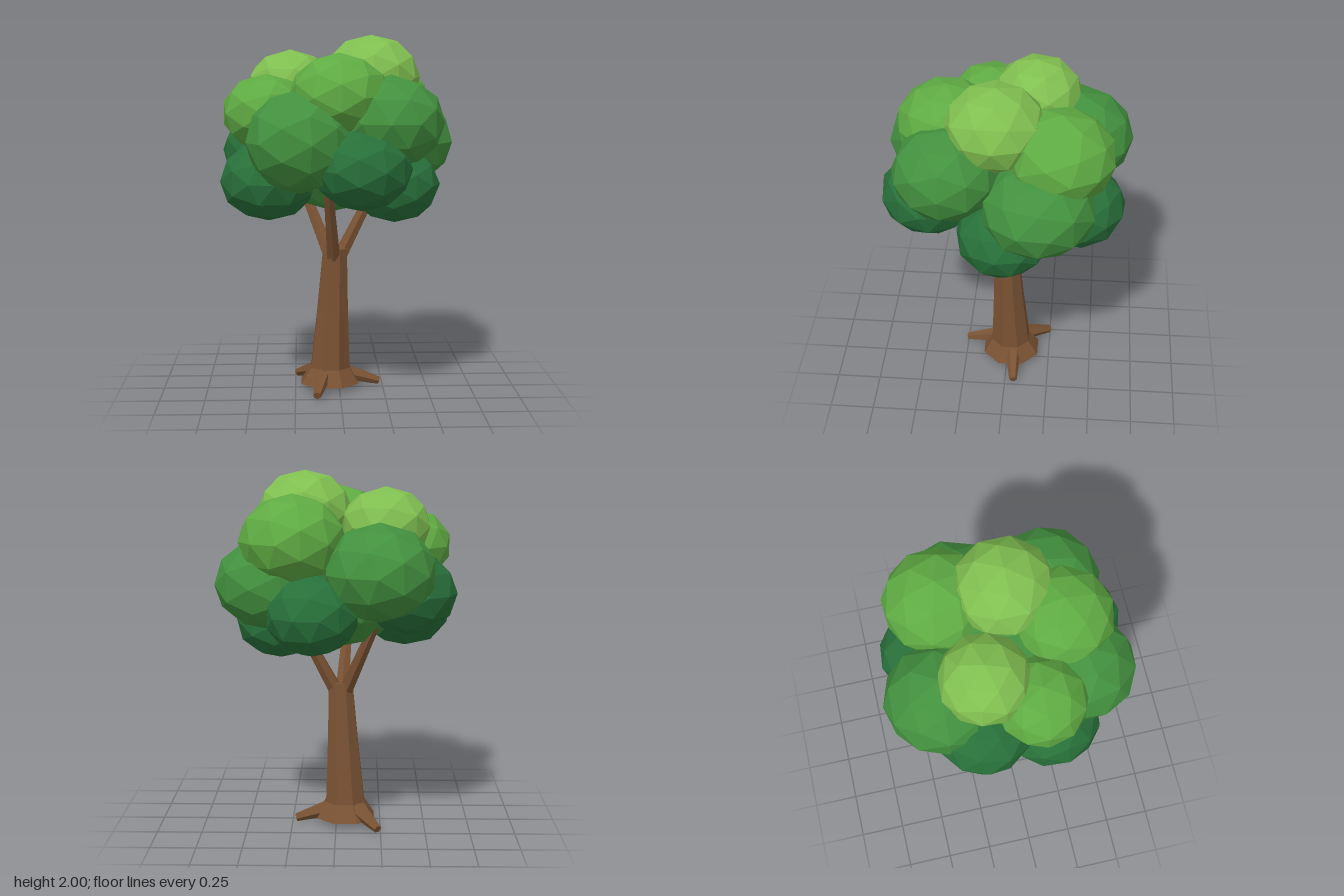
import * as THREE from 'three';

const mat = (color) => new THREE.MeshStandardMaterial({ color, flatShading: true });
const bark = mat(0x7a5233);
const greens = {
  top: mat(0x80bf50),
  upper: mat(0x5fab43),
  middle: mat(0x43913f),
  lower: mat(0x28703a),
};

// Tapered limb between two points
function limb(name, from, to, r0, r1, sides) {
  const a = new THREE.Vector3(...from), b = new THREE.Vector3(...to);
  const dir = b.clone().sub(a);
  const mesh = new THREE.Mesh(new THREE.CylinderGeometry(r1, r0, dir.length(), sides), bark);
  mesh.quaternion.setFromUnitVectors(new THREE.Vector3(0, 1, 0), dir.normalize());
  mesh.position.copy(a).add(b).multiplyScalar(0.5);
  mesh.name = name;
  return mesh;
}

// Leaning trunk: lathe rings shifted sideways by height
function trunk() {
  const profile = [[0, 0.03], [0.175, 0.03], [0.118, 0.12], [0.093, 0.46], [0.072, 0.81], [0, 0.81]];
  const geo = new THREE.LatheGeometry(profile.map((p) => new THREE.Vector2(...p)), 8, Math.PI / 8);
  const pos = geo.attributes.position;
  for (let i = 0; i < pos.count; i++) {
    const t = pos.getY(i) / 0.81;
    pos.setX(i, pos.getX(i) - 0.055 + 0.031 * t);
    pos.setZ(i, pos.getZ(i) - 0.022 + 0.03 * t);
  }
  const mesh = new THREE.Mesh(geo, bark);
  mesh.name = 'trunk';
  return mesh;
}

// Faceted leaf clumps: tone, centre x y z, horizontal radius, vertical radius
const clumps = [
  ['top', 0.175, 1.77, 0.05, 0.27, 0.23],
  ['top', -0.27, 1.71, -0.15, 0.245, 0.21],
  ['upper', -0.01, 1.675, 0.32, 0.27, 0.23],
  ['upper', 0.23, 1.64, -0.295, 0.29, 0.25],
  ['upper', -0.4, 1.58, 0.115, 0.245, 0.21],
  ['middle', -0.22, 1.44, 0.38, 0.29, 0.275],
  ['middle', 0.265, 1.54, 0.3, 0.29, 0.25],
  ['middle', 0.35, 1.4, -0.19, 0.31, 0.255],
  ['middle', -0.235, 1.48, -0.375, 0.305, 0.265],
  ['middle', -0.03, 1.38, 0, 0.38, 0.36],
  ['lower', 0.11, 1.3, 0.415, 0.265, 0.225],
  ['lower', -0.39, 1.215, 0.18, 0.265, 0.22],
  ['lower', 0.31, 1.175, 0, 0.255, 0.22],
  ['lower', 0.12, 1.26, -0.395, 0.255, 0.225],
  ['lower', -0.395, 1.35, -0.19, 0.265, 0.23],
];

export function createModel() {
  const tree = new THREE.Group();
  tree.name = 'tree';
  tree.add(trunk());

  // Roots spreading from the trunk foot
  const roots = [[0.23, -0.05], [-0.13, 0.25], [-0.235, -0.245]];
  for (const [x, z] of roots) {
    tree.add(limb('root', [-0.055 + x * 0.3, 0.085, -0.02 + z * 0.3], [x, 0.022, z], 0.05, 0.023, 6));
  }

  // Branches rising into the crown
  const branches = [[0.22, 1.18, -0.06], [-0.07, 1.2, 0.27], [-0.22, 1.18, -0.17]];
  for (const [x, y, z] of branches) {
    tree.add(limb('branch', [-0.024 + x * 0.12, 0.76, 0.008 + z * 0.12], [x, y, z], 0.042, 0.028, 6));
  }

  // Crown
  const crown = new THREE.Group();
  crown.name = 'crown';
  clumps.forEach(([tone, x, y, z, r, h], i) => {
    const geo = new THREE.IcosahedronGeometry(1, 1).rotateY(i * 1.3);
    const leaf = new THREE.Mesh(geo, greens[tone]);
    leaf.name = 'leafClump';
    leaf.position.set(x, y, z);
    leaf.scale.set(r, h, r);
    crown.add(leaf);
  });
  tree.add(crown);
  return tree;
}
